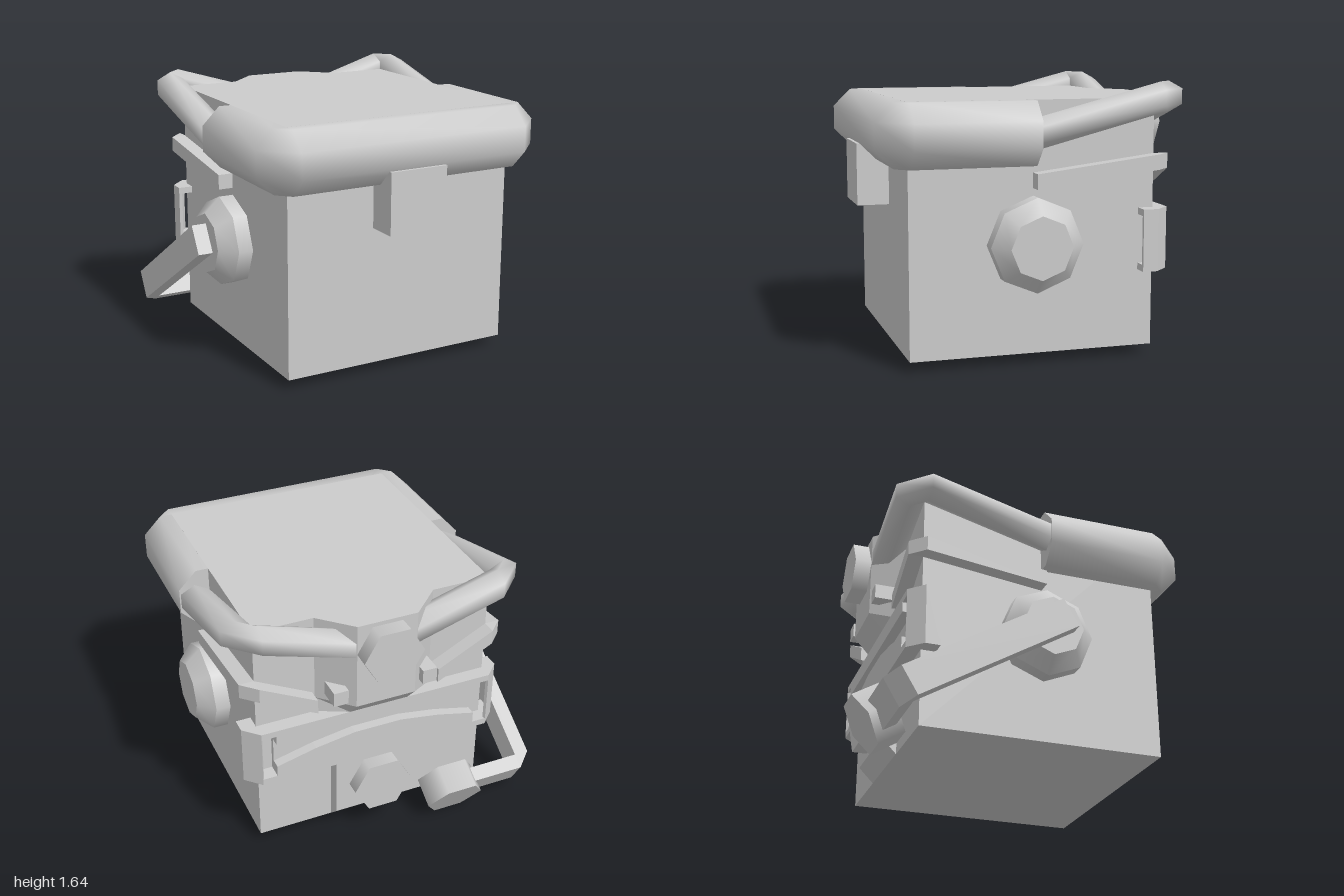
import * as THREE from 'three';

const HALF = 0.735;      // half width of the cube body
const FRONT = 0.81, BACK = -0.66, TOP = 1.545;

export function createModel() {
  const model = new THREE.Group();
  const grey = new THREE.MeshStandardMaterial({ color: 0xcccccc });
  grey.name = 'plainGrey';

  // Everything except the microphone is symmetric about this group's x = 0
  const head = new THREE.Group();
  head.name = 'head';
  head.position.x = 0.045;
  model.add(head);

  const add = (name, geometry, parent = head) => {
    const mesh = new THREE.Mesh(geometry, grey);
    mesh.name = name;
    parent.add(mesh);
    return mesh;
  };

  const box = (name, x0, x1, y0, y1, z0, z1) =>
    add(name, new THREE.BoxGeometry(x1 - x0, y1 - y0, z1 - z0)
      .translate((x0 + x1) / 2, (y0 + y1) / 2, (z0 + z1) / 2));

  // Plan outline [x, z] extruded upwards from y0 to y1
  const prism = (plan, y0, y1) => {
    const shape = new THREE.Shape(plan.map(([x, z]) => new THREE.Vector2(x, -z)));
    return new THREE.ExtrudeGeometry(shape, { depth: y1 - y0, bevelEnabled: false })
      .rotateX(-Math.PI / 2).translate(0, y0, 0);
  };

  // Prism whose bottom edge is pulled forward to zLimit
  const chamfered = (plan, y0, y1, zLimit) => {
    const g = prism(plan, y0, y1), p = g.attributes.position;
    for (let i = 0; i < p.count; i++) {
      if (p.getY(i) < y0 + 0.001) p.setZ(i, Math.max(p.getZ(i), zLimit));
    }
    g.computeVertexNormals();
    return g;
  };

  // Front outline [x, y] extruded in z
  const plate = (outline, z0, z1) =>
    new THREE.ExtrudeGeometry(new THREE.Shape(outline.map(([x, y]) => new THREE.Vector2(x, y))),
      { depth: z1 - z0, bevelEnabled: false }).translate(0, 0, z0);

  // Sweep a profile [outward, up] through rings [x, y, z, normalX, normalZ]
  const sweep = (rings, profile, smooth) => {
    const pos = [], index = [], n = profile.length, last = rings.length - 1;
    const ring = ([x, y, z, nx, nz]) =>
      profile.forEach(([u, v]) => pos.push(x + nx * u, y + v, z + nz * u));
    rings.forEach(ring);
    for (let i = 0; i < last; i++) {
      for (let j = 0; j < n; j++) {
        const a = i * n + j, b = i * n + (j + 1) % n;
        index.push(a, b, b + n, a, b + n, a + n);
      }
    }
    const cap = (last + 1) * n;
    ring(rings[0]);
    ring(rings[last]);
    for (let j = 1; j < n - 1; j++) {
      index.push(cap, cap + j + 1, cap + j, cap + n, cap + n + j, cap + n + j + 1);
    }
    let g = new THREE.BufferGeometry();
    g.setAttribute('position', new THREE.Float32BufferAttribute(pos, 3));
    g.setIndex(index);
    if (!smooth) g = g.toNonIndexed();
    g.computeVertexNormals();
    return g;
  };
  const mirrored = rings => rings.map(([x, y, z, nx, nz]) => [-x, y, z, -nx, nz]).reverse();

  // Head cube and the small block on its face
  box('headCube', -HALF, HALF, 0.07, TOP, BACK, FRONT);
  box('noseBlock', -0.185, 0.185, 0.9, 1.27, FRONT - 0.1, 1.001);

  // Thick padded roll around the front half of the top
  const octagon = [];
  for (let i = 0; i < 8; i++) {
    const a = (i + 0.5) * Math.PI / 4;
    octagon.push([0.2 * Math.cos(a), 0.2 * Math.sin(a)]);
  }
  add('browRoll', sweep([
    [HALF, 1.36, 0.08, 1, 0], [HALF, 1.36, FRONT, 1, 0], [HALF, 1.36, FRONT, 0, 1],
    [-HALF, 1.36, FRONT, 0, 1], [-HALF, 1.36, FRONT, -1, 0], [-HALF, 1.36, 0.08, -1, 0],
  ], octagon, true));

  // Rear tubes and straps wrap the back corners on each side
  const hexagon = [];
  for (let i = 0; i < 6; i++) {
    const a = (i + 0.5) * Math.PI / 3;
    hexagon.push([0.09 + 0.1 * Math.cos(a), 0.092 * Math.sin(a)]);
  }
  const square = [[0, 0], [0.09, 0], [0.09, 0.09], [0, 0.09]];
  const tubePath = [
    [0.175, 1.38, BACK, 0, -1], [HALF, 1.55, BACK, 0, -1],
    [HALF, 1.55, BACK, 1, 0], [HALF, 1.36, 0.08, 1, 0],
  ];
  const strapPath = [
    [0.385, 0.95, BACK, 0, -1], [HALF, 1.13, BACK, 0, -1],
    [HALF, 1.13, BACK, 1, 0], [HALF, 1.04, 0.08, 1, 0],
  ];

  // Side bracket: thin bent plate held by two tabs
  const outer = [[0.825, -0.57], [0.825, -0.66], [0.735, -0.75]];
  const tab = [[HALF, -0.57], ...outer, [0.645, -0.75], [0.645, BACK], [HALF, BACK]];
  const guard = [...outer, [0.725, -0.735], [0.805, -0.655], [0.805, -0.57]];

  for (const s of [1, -1]) {
    const side = s > 0 ? 'left' : 'right';
    const path = p => (s > 0 ? p : mirrored(p));
    const plan = p => p.map(([x, z]) => [s * x, z]);
    add(side + 'RearTube', sweep(path(tubePath), hexagon, true));
    add(side + 'Strap', sweep(path(strapPath), square, false));
    add(side + 'BracketTop', prism(plan(tab), 0.86, 0.9));
    add(side + 'BracketBottom', prism(plan(tab), 0.53, 0.57));
    add(side + 'BracketPlate', prism(plan(guard), 0.53, 0.9));
    const cx = s * 0.28;
    box(side + 'RearStud', cx - 0.045, cx + 0.045, 1.04, 1.13, -0.84, BACK);

    // Eight-sided ear cups
    const ear = new THREE.Group();
    ear.name = side + 'Ear';
    ear.position.set(s * HALF, 0.72, 0.08);
    ear.rotation.z = -s * Math.PI / 2;
    add('earRim', new THREE.CylinderGeometry(0.277, 0.277, 0.09, 8, 1, true)
      .translate(0, 0.045, 0), ear);
    add('earCup', new THREE.CylinderGeometry(0.185, 0.277, 0.095, 8)
      .translate(0, 0.1375, 0), ear);
    head.add(ear);
  }

  // Rear hub with its chamfered underside
  const hubPlan = [[-0.37, BACK], [0.37, BACK], [0.185, -0.84], [-0.185, -0.84]];
  add('rearHub', prism(hubPlan, 1.0, TOP));
  add('rearHubBase', chamfered(hubPlan, 0.9, 1.0, -0.75));

  // Six-sided caps on the back
  const hexCap = (r, depth) =>
    new THREE.CylinderGeometry(r, r, depth, 6).rotateY(Math.PI / 6).rotateX(Math.PI / 2)
      .rotateZ(0);
  const capTurn = g => {
    // turn so that a flat side faces up
    g.computeBoundingBox();
    const b = g.boundingBox;
    return b.max.y > b.max.x ? g.rotateZ(Math.PI / 6) : g;
  };
  add('upperCap', capTurn(hexCap(0.185, 0.1)).translate(0, 1.36, -0.89));
  add('lowerCap', capTurn(hexCap(0.185, 0.1)).translate(0, 0.35, -0.79));

  // Back panel: top bar, recess, curved lower plate and centre skirt
  const w = 0.645;
  box('panelTopBar', -w, w, 0.8, 0.9, -0.75, BACK);
  box('panelRecess', -w, w, 0.6, 0.82, -0.69, BACK);
  add('panelLowerPlate', plate([
    [-w, 0.53], [w, 0.53], [w, 0.64], [0.4, 0.7], [0.15, 0.74],
    [-0.15, 0.74], [-0.4, 0.7], [-w, 0.64],
  ], -0.75, BACK));
  const skirt = [[-0.27, BACK], [0.27, BACK], [0.27, -0.75], [-0.27, -0.75]];
  box('panelSkirt', -0.27, 0.27, 0.16, 0.53, -0.75, BACK);
  add('panelSkirtBase', chamfered(skirt, 0.07, 0.16, BACK - 0.001));

  // Microphone boom, tilted down and back from the right ear
  const boom = new THREE.Group();
  boom.name = 'microphone';
  boom.position.set(0, 0.77, 0.15);
  boom.rotation.x = -0.541;
  add('boomArm', prism([
    [-0.97, 0], [-0.88, 0], [-0.88, -1.1], [-0.45, -1.1],
    [-0.45, -1.19], [-0.88, -1.19], [-0.97, -1.1],
  ], -0.0925, 0.0925), boom);
  add('mouthpiece', capTurn(hexCap(0.185, 0.18)).translate(-0.415, 0.015, -1.15), boom);
  model.add(boom);

  return model;
}
